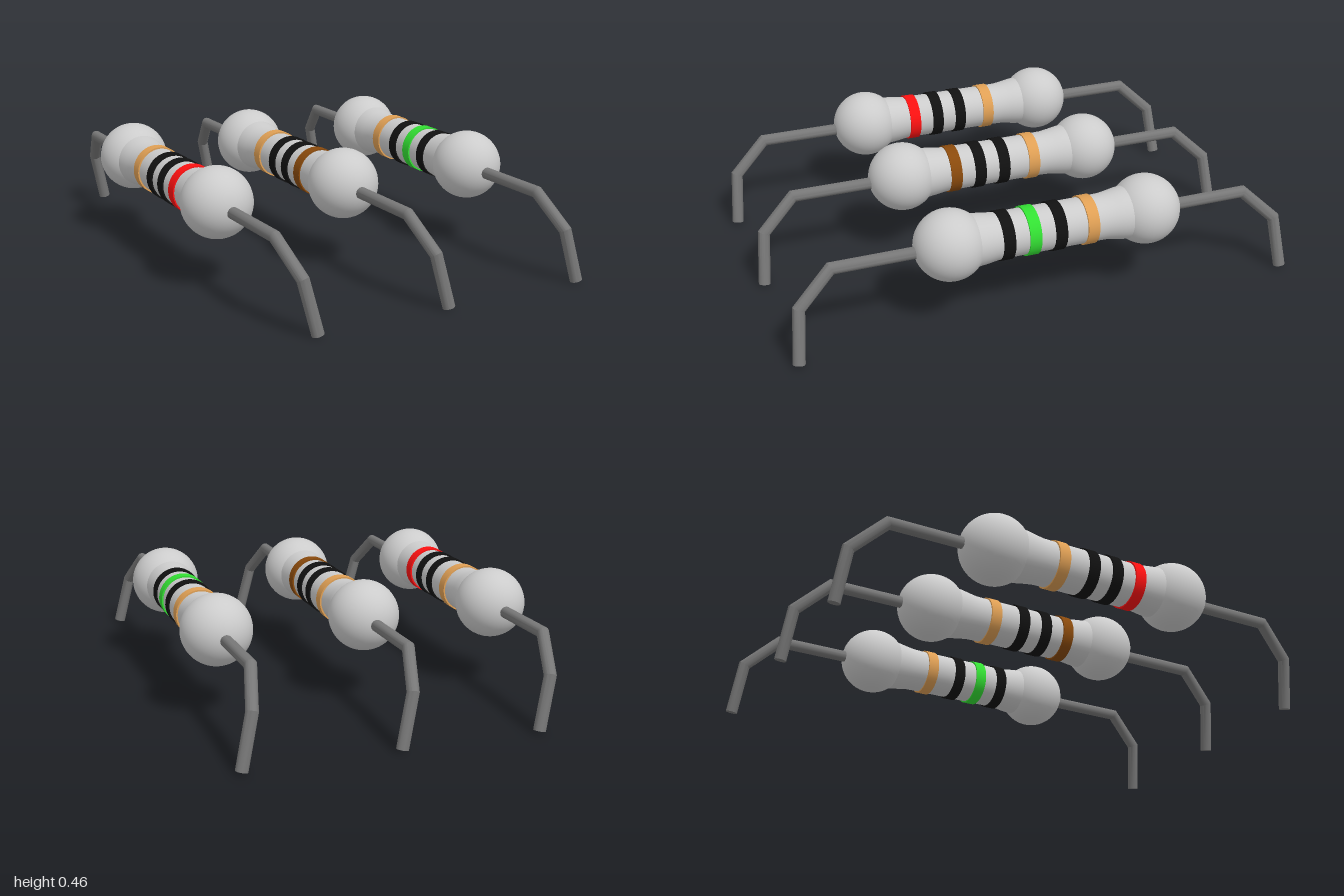
import * as THREE from 'three';
import { toCreasedNormals } from 'three/addons/utils/BufferGeometryUtils.js';

const AXIS_Y = 0.33;
const paint = (color) => new THREE.MeshStandardMaterial({ color });

function part(parent, name, geometry, material, z = 0) {
  const mesh = new THREE.Mesh(geometry, material);
  mesh.name = name;
  mesh.position.z = z;
  parent.add(mesh);
  return mesh;
}

// Wire with mitred bends: each ring of a cylinder slides along the path
// until it meets the plane that halves the next bend.
function wireGeometry(points, radius, sides = 16) {
  const spans = points.length - 1;
  const geometry = new THREE.CylinderGeometry(radius, radius, 1, sides, spans);
  const dirs = points.slice(1).map((p, i) => p.clone().sub(points[i]).normalize());
  const u = new THREE.Vector3(1, 0, 0);
  const v = dirs[0].clone().cross(u);
  const pos = geometry.attributes.position;
  for (let i = 0; i < pos.count; i++) {
    const row = Math.round((0.5 - pos.getY(i)) * spans);
    const p = points[0].clone().addScaledVector(u, pos.getX(i)).addScaledVector(v, pos.getZ(i));
    for (let k = 0; k < row; k++) {
      const normal = dirs[k].clone().add(dirs[k + 1] ?? dirs[k]);
      if (k === spans - 1) normal.copy(dirs[k]);
      const gap = points[k + 1].clone().sub(p).dot(normal) / dirs[k].dot(normal);
      p.addScaledVector(dirs[k], gap);
    }
    pos.setXYZ(i, p.x, p.y, p.z);
  }
  return toCreasedNormals(geometry, 0.5);
}

// Waisted body between the two round ends
function bodyGeometry() {
  const profile = [
    [0.102, -0.32], [0.1, -0.295], [0.094, -0.26], [0.089, -0.225], [0.088, -0.19],
    [0.088, 0.19], [0.09, 0.215], [0.095, 0.25], [0.1, 0.295],
  ].map(([r, z]) => new THREE.Vector2(r, z));
  return new THREE.LatheGeometry(profile, 40).rotateX(Math.PI / 2);
}

export function createModel() {
  const model = new THREE.Group();
  model.name = 'resistors';

  const grey = paint(0xcccccc);
  const metal = paint(0x777777);
  const black = paint(0x111111);
  const tan = paint(0xe0a055);
  const red = paint(0xff1111);
  const brown = paint(0x8a4a0c);
  const green = paint(0x33e033);

  const body = bodyGeometry();
  const bulb = new THREE.SphereGeometry(0.135, 40, 28);
  const band = new THREE.CylinderGeometry(0.094, 0.094, 0.045, 40).rotateX(Math.PI / 2);
  const wires = [1, -1].map((s) => wireGeometry([
    new THREE.Vector3(0, -0.007, s * 0.45),
    new THREE.Vector3(0, -0.007, s * 0.825),
    new THREE.Vector3(0.036, -0.127, s * 0.955),
    new THREE.Vector3(0.082, -0.324, s * 0.977),
  ], 0.023));

  // Position across the row, and band colours from front to back
  const resistors = [
    [-0.56, [red, black, black, tan]],
    [-0.025, [brown, black, black, tan]],
    [0.555, [black, green, black, tan]],
  ];
  const bandZ = [0.18, 0.078, -0.024, -0.153];

  resistors.forEach(([x, colors], n) => {
    const resistor = new THREE.Group();
    resistor.name = `resistor${n + 1}`;
    resistor.position.set(x, AXIS_Y, 0);
    part(resistor, 'body', body, grey);
    part(resistor, 'frontBulb', bulb, grey, 0.381);
    part(resistor, 'backBulb', bulb, grey, -0.402);
    colors.forEach((material, i) => part(resistor, `band${i + 1}`, band, material, bandZ[i]));
    part(resistor, 'frontWire', wires[0], metal);
    part(resistor, 'backWire', wires[1], metal);
    model.add(resistor);
  });
  return model;
}
